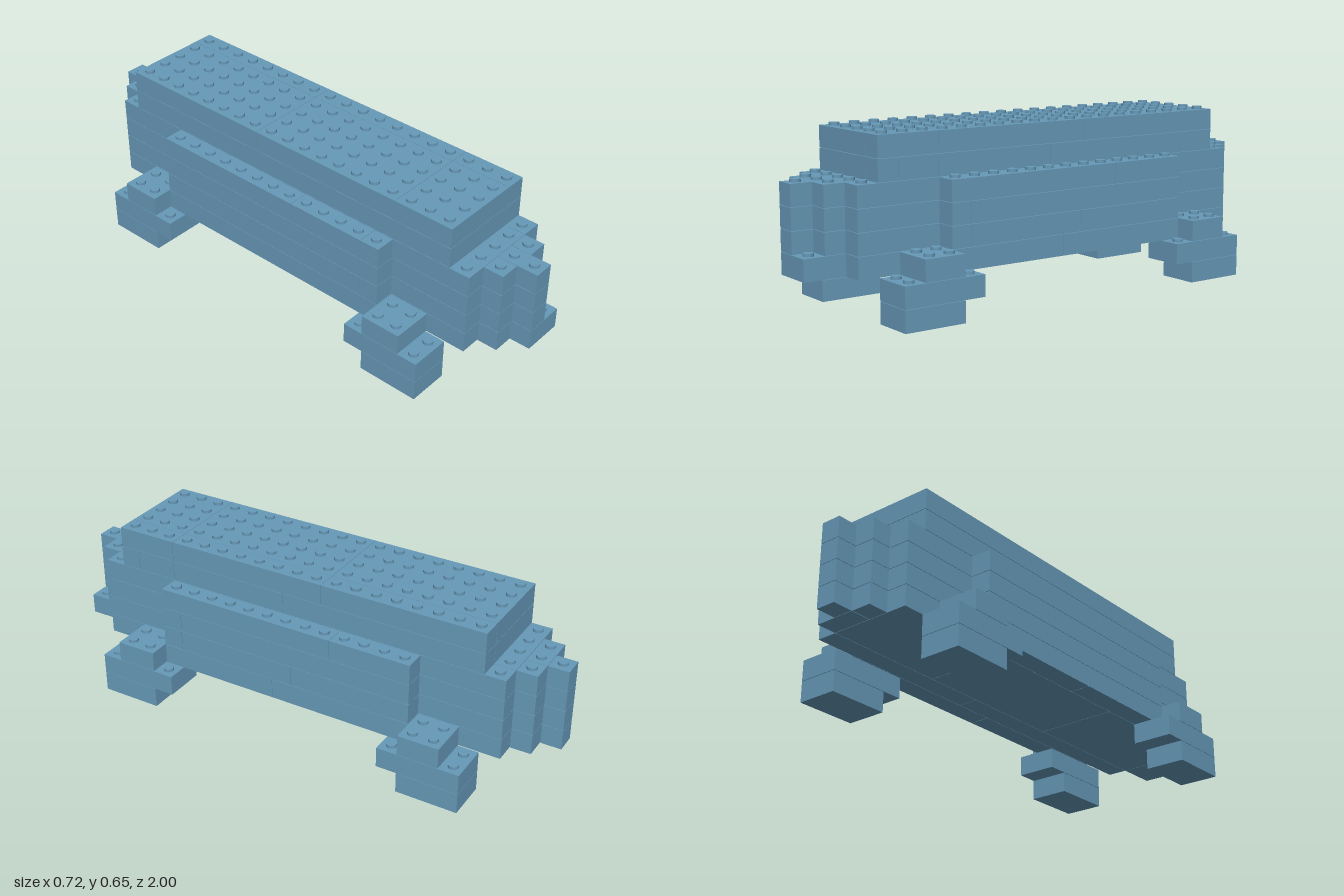
import * as THREE from 'three';
import { mergeGeometries } from 'three/addons/utils/BufferGeometryUtils.js';

const U = 0.08;        // one stud cell, also one brick layer
const GAP = 0.0008;    // hairline seam around each brick
const STUD_R = 0.019, STUD_H = 0.011;

// Bricks are [x0, x1, z0, z1, layer] in cells; the grid is 9 cells wide and 25 deep
const px = (i) => -0.36 + i * U;
const pz = (k) => -1 + k * U;

// Rows of bricks in one layer: x range, then the z seams
function row(x0, x1, layer, ...zs) {
  return zs.slice(1).map((z, i) => [x0, x1, zs[i], z, layer]);
}

function partBricks() {
  const parts = { legs: [], body: [], frontNose: [], backNose: [], sideWalls: [], roof: [] };

  // Four stepped legs
  for (const [x0, x1] of [[0, 2], [7, 9]]) {
    for (const back of [true, false]) {
      const span = (a, b, layer) => parts.legs.push(
        back ? [x0, x1, a, b, layer] : [x0, x1, 25 - b, 25 - a, layer]);
      span(3, 6, 0);
      span(3, 7, 1);
      span(4, 6, 2);
    }
  }

  // Main body, four layers with staggered seams
  parts.body.push(
    ...row(2, 6, 2, 2, 8, 16, 23), ...row(6, 7, 2, 2, 11, 23),
    ...row(2, 4, 3, 2, 12, 23), ...row(4, 7, 3, 2, 9, 18, 23),
    ...row(2, 5, 4, 2, 10, 19, 23), ...row(5, 7, 4, 2, 13, 23),
    ...row(2, 6, 5, 2, 6, 14, 23), ...row(6, 7, 5, 2, 11, 23));

  // Side walls between the legs
  for (const x of [1, 7]) {
    parts.sideWalls.push(
      ...row(x, x + 1, 2, 6, 13, 19),
      ...row(x, x + 1, 3, 6, 12, 18, 19),
      ...row(x, x + 1, 4, 6, 10, 18, 19));
  }
  parts.sideWalls.push(...row(1, 2, 5, 6, 14, 18, 19), ...row(7, 8, 5, 6, 10, 19));

  // Stepped noses; the lowest front layer has a wider tip
  for (let layer = 2; layer < 6; layer++) {
    const seam = layer % 2 ? 5 : 4;
    parts.backNose.push([3, seam, 1, 2, layer], [seam, 6, 1, 2, layer], [4, 5, 0, 1, layer]);
    parts.frontNose.push([3, 4, 23, 24, layer]);
    if (layer === 2) parts.frontNose.push([4, 6, 23, 25, layer]);
    else parts.frontNose.push([4, 5, 23, 25, layer], [5, 6, 23, 24, layer]);
  }

  // Raised top block
  parts.roof.push(
    ...row(2, 6, 6, 3, 10, 19, 22), ...row(6, 7, 6, 3, 13, 19, 21, 22),
    ...row(2, 6, 7, 3, 11, 19, 22), ...row(6, 7, 7, 3, 11, 19, 22));
  return parts;
}

function brickGeometry([x0, x1, z0, z1, layer]) {
  const g = new THREE.BoxGeometry((x1 - x0) * U - 2 * GAP, U - 2 * GAP, (z1 - z0) * U - 2 * GAP);
  return g.translate(px((x0 + x1) / 2), (layer + 0.5) * U, pz((z0 + z1) / 2));
}

export function createModel() {
  const model = new THREE.Group();
  model.name = 'brickBuild';
  const blue = new THREE.MeshStandardMaterial({ color: 0x6799b8 });
  blue.name = 'dustyBlue';

  const parts = partBricks();

  // Cells that are covered by a brick
  const filled = new Set();
  const eachCell = ([x0, x1, z0, z1, layer], fn) => {
    for (let x = x0; x < x1; x++) for (let z = z0; z < z1; z++) fn(x, z, layer);
  };
  for (const list of Object.values(parts)) {
    for (const b of list) eachCell(b, (x, z, l) => filled.add(`${x},${z},${l}`));
  }

  for (const [name, list] of Object.entries(parts)) {
    const group = new THREE.Group();
    group.name = name;
    const studs = [];
    list.forEach((b) => {
      const brick = new THREE.Mesh(brickGeometry(b), blue);
      brick.name = 'brick';
      group.add(brick);
      // Studs only where nothing sits on top
      eachCell(b, (x, z, l) => {
        if (filled.has(`${x},${z},${l + 1}`)) return;
        const stud = new THREE.CylinderGeometry(STUD_R, STUD_R, STUD_H, 16);
        studs.push(stud.translate(px(x + 0.5), (l + 1) * U - GAP + STUD_H / 2, pz(z + 0.5)));
      });
    });
    if (studs.length) {
      const mesh = new THREE.Mesh(mergeGeometries(studs), blue);
      mesh.name = 'studs';
      group.add(mesh);
    }
    model.add(group);
  }
  return model;
}
